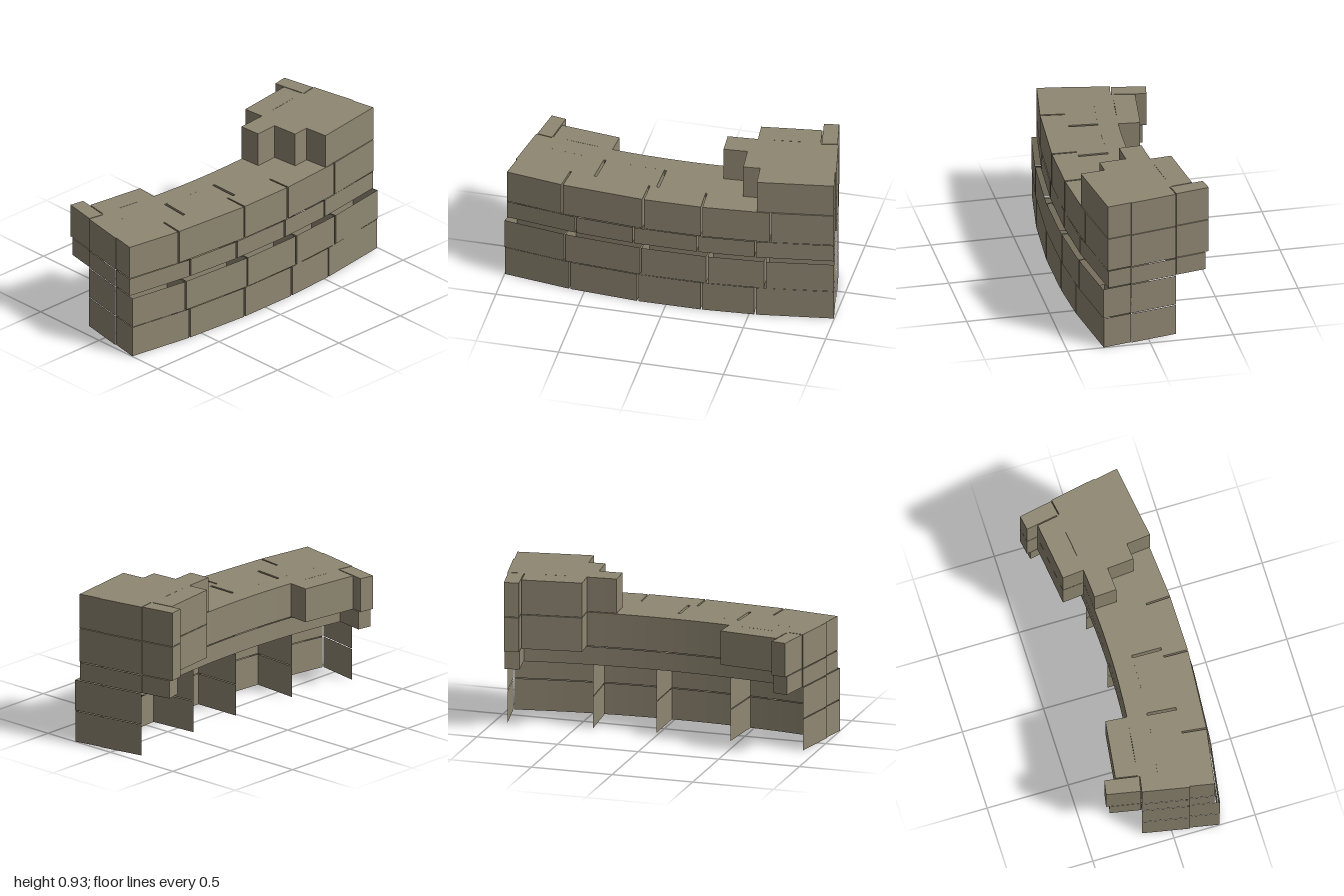
import * as THREE from 'three';

const CZ = -4.92; // centre of the wall's curve on the z axis
const END = 10.86; // half sweep of the wall in degrees
const RB = 4.82, RE = 4.835, RM = 5.12; // back, back at the ends, and between the two rows
const rad = THREE.MathUtils.degToRad;
const degAt = (x, r) => THREE.MathUtils.radToDeg(Math.asin(x / r));

export function createModel() {
  const model = new THREE.Group();
  model.name = 'ruinedCurvedWall';
  const stone = new THREE.MeshStandardMaterial({ color: 0x8f8772, side: THREE.DoubleSide });
  stone.name = 'weathered stone';

  function add(name, geo) {
    const mesh = new THREE.Mesh(geo, stone);
    mesh.name = name;
    model.add(mesh);
  }

  // A solid block bounded by two radii, two angles and two heights
  function block(name, r0, r1, a0, a1, y0, y1, seg = 1) {
    const pts = [];
    const at = (r, a) => new THREE.Vector2(r * Math.sin(rad(a)), -(CZ + r * Math.cos(rad(a))));
    for (let i = 0; i <= seg; i++) pts.push(at(r0, a0 + ((a1 - a0) * i) / seg));
    for (let i = seg; i >= 0; i--) pts.push(at(r1, a0 + ((a1 - a0) * i) / seg));
    const geo = new THREE.ExtrudeGeometry(new THREE.Shape(pts), { depth: y1 - y0, bevelEnabled: false });
    geo.rotateX(-Math.PI / 2);
    geo.translate(0, y0, 0);
    add(name, geo);
  }

  // An upright sheet through [radius, angle] points of the plan
  function sheet(name, plan, y0, y1) {
    const pos = [];
    const at = ([r, a], y) => [r * Math.sin(rad(a)), y, CZ + r * Math.cos(rad(a))];
    for (let i = 0; i < plan.length - 1; i++) {
      const [p, q] = [plan[i], plan[i + 1]];
      pos.push(...at(p, y0), ...at(q, y0), ...at(q, y1), ...at(p, y0), ...at(q, y1), ...at(p, y1));
    }
    const geo = new THREE.BufferGeometry();
    geo.setAttribute('position', new THREE.Float32BufferAttribute(pos, 3));
    geo.computeVertexNormals();
    add(name, geo);
  }

  // Angle spans of a row split by narrow joints at the given x positions
  function spans(joints, r, end, gap) {
    const cuts = joints.map((x) => degAt(x, r));
    const stops = [...cuts.map((a) => a - gap), end];
    return [-end, ...cuts.map((a) => a + gap)].map((a, i) => [a, stops[i]]);
  }

  const arc = (r, end) => Array.from({ length: 21 }, (_, i) => [r, -end + (i * end) / 10]);

  // Three lower courses: hollow face blocks with cross walls behind them
  const lower = [
    { y: [0, 0.191], r: 5.296, joints: [-0.59, -0.17, 0.215, 0.535] },
    { y: [0.195, 0.385], r: 5.299, joints: [-0.62, -0.15, 0.25, 0.595] },
    { y: [0.389, 0.5], r: 5.267, joints: [-0.56, -0.205, 0.185, 0.53] },
  ];
  for (const { y, r, joints } of lower) {
    for (const [a, b] of spans(joints, r, END, 0.055)) {
      sheet('faceBlock', [[RM, a], [r, a], [r, b], [RM, b]], ...y);
    }
    sheet('faceBack', arc(RM, END), ...y);
    for (const a of [-5.35, 0.2, 4.8]) sheet('crossWall', [[RB, a], [RM, a]], ...y);
    for (const a of [-10.93, 10.93]) sheet('endWall', [[RE, a], [RM, a]], ...y);
  }
  const third = lower[2].y;
  sheet('thirdCourseBack', [[RE, -10.93], ...arc(RB, 9.75), [RE, 10.93]], ...third);

  // Solid fourth course
  const fourth = [0.504, 0.712];
  for (const [a, b] of spans([-0.645, -0.145, 0.21, 0.62], 5.268, END, 0.055)) {
    block('faceBlock', RM, 5.268, a, b, ...fourth);
  }
  block('backing', RB, 4.94, -9.75, 9.75, ...fourth, 20);
  for (const [a, b] of spans([-0.475, -0.09], RM, 9.75, 0.09)) {
    block('backingBlock', 4.94, RM, a, b, ...fourth, 8);
  }

  // Broken fifth course, stepped at its open end
  const top = [0.716, 0.927];
  block('topBackBlock', RB, 4.957, 3.1, 9.75, ...top, 8);
  block('topMiddleBlock', 4.957, RM, 4.75, 9.75, ...top, 6);
  block('topFaceBlock', RM, 5.268, 5.88, END, ...top);

  // End blocks, inner buttresses and narrow end posts
  for (const s of [-1, 1]) {
    const mirrored = (name, r0, r1, a, b, y) =>
      block(name, r0, r1, Math.min(s * a, s * b), Math.max(s * a, s * b), ...y);
    mirrored('endPost', 4.645, 4.83, 9.75, 10.87, third);
    const tall = s > 0 ? [fourth, top] : [fourth];
    for (const y of tall) {
      mirrored('endBlock', RE, RM, 9.75, 10.93, y);
      mirrored('buttress', 4.69, 4.822, 5.25, 9.68, y);
      mirrored('endPost', 4.623, 4.83, 9.75, 10.87, y);
    }
  }
  return model;
}
